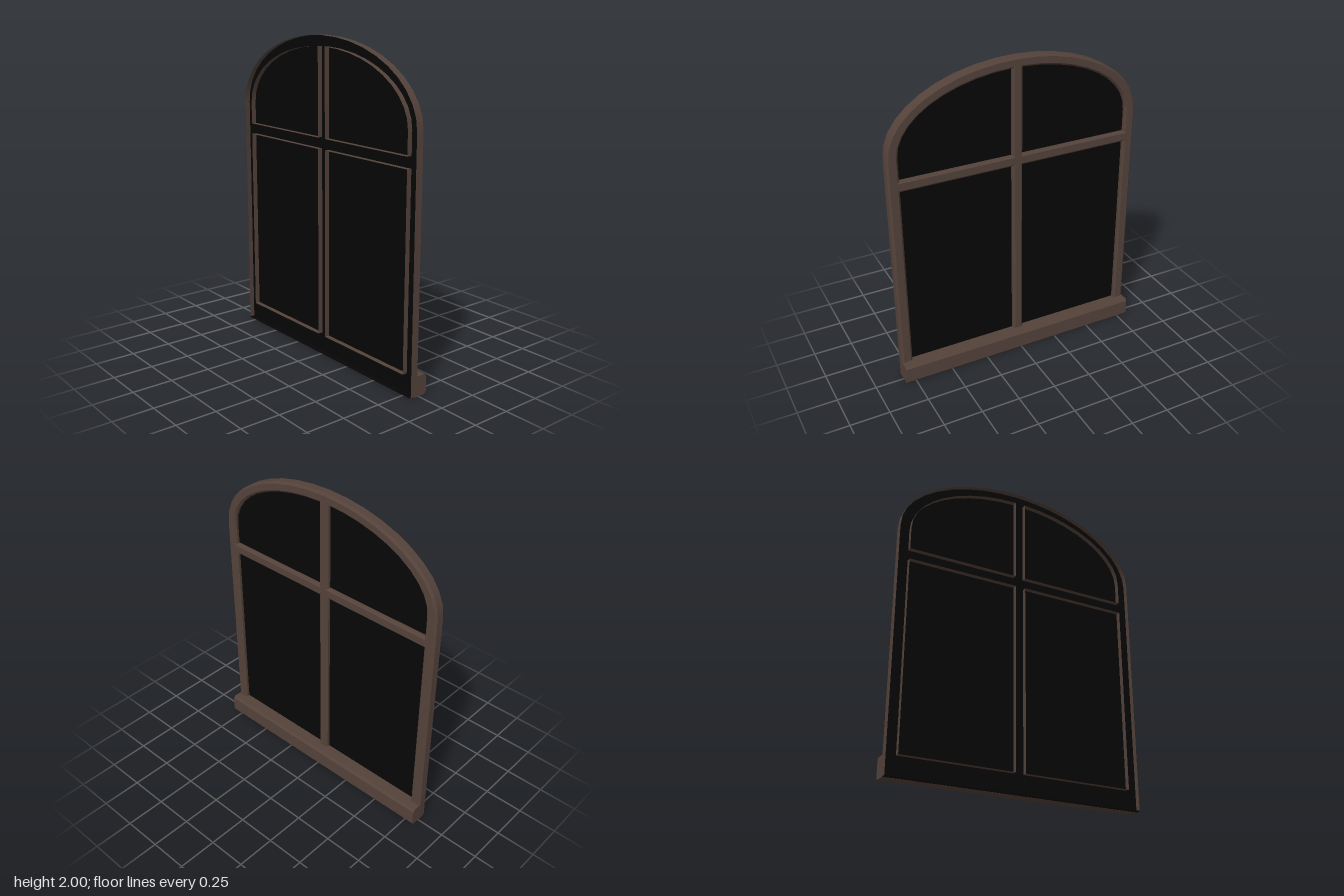
import * as THREE from 'three';
import { toCreasedNormals } from 'three/addons/utils/BufferGeometryUtils.js';

const HALF = 0.815, SPRING = 1.53, TOP = 2;   // outer arch
const INNER = 0.745, INNER_TOP = 1.935;       // inside edge of the frame
const BAR = 0.033;                            // half width of the mullion
const SILL = 0.125, BACK = -0.06, GLASS = -0.028, BEVEL = 0.012;

// points on an elliptical arch between two angles
function arch(rx, top, from, to, steps) {
  return Array.from({ length: steps + 1 }, (_, i) => {
    const t = from + (to - from) * i / steps;
    return new THREE.Vector2(rx * Math.cos(t), SPRING + (top - SPRING) * Math.sin(t));
  });
}

// thin wall following an outline, from depth z0 to z1
function wall(points, z0, z1, closed) {
  const pos = [], index = [], n = points.length;
  for (const p of points) pos.push(p.x, p.y, z0, p.x, p.y, z1);
  for (let i = 0; i < (closed ? n : n - 1); i++) {
    const a = 2 * i, b = 2 * ((i + 1) % n);
    index.push(a, b, b + 1, a, b + 1, a + 1);
  }
  const g = new THREE.BufferGeometry();
  g.setAttribute('position', new THREE.Float32BufferAttribute(pos, 3));
  g.setIndex(index);
  return toCreasedNormals(g, 0.5);
}

export function createModel() {
  const wood = new THREE.MeshStandardMaterial({ color: 0x54423a, side: THREE.DoubleSide });
  wood.name = 'dark brown wood';
  const glass = new THREE.MeshStandardMaterial({ color: 0x060606, side: THREE.DoubleSide });
  glass.name = 'black glass';

  const model = new THREE.Group();
  model.name = 'archedWindow';
  // drawn facing +z, then turned to face +x
  const panel = new THREE.Group();
  panel.name = 'windowPanel';
  panel.rotation.y = Math.PI / 2;
  model.add(panel);
  const add = (parent, name, geometry, material) => {
    const mesh = new THREE.Mesh(geometry, material);
    mesh.name = name;
    parent.add(mesh);
    return mesh;
  };

  // outlines of the frame and its four openings
  const outline = [new THREE.Vector2(-HALF, 0), new THREE.Vector2(HALF, 0),
    ...arch(HALF, TOP, 0, Math.PI, 20)];
  const lower = [[BAR, SILL], [INNER, SILL], [INNER, 1.32], [BAR, 1.32]]
    .map(([x, y]) => new THREE.Vector2(x, y));
  const upper = [new THREE.Vector2(BAR, 1.39), new THREE.Vector2(INNER, 1.39),
    ...arch(INNER, INNER_TOP, 0, Math.acos(BAR / INNER), 10)];
  const mirror = (pts) => pts.map((p) => new THREE.Vector2(-p.x, p.y)).reverse();
  const openings = [lower, upper, mirror(lower), mirror(upper)];

  // front face of frame, mullion and transom with chamfered edges
  const shape = new THREE.Shape(outline);
  openings.forEach((o) => shape.holes.push(new THREE.Path(o)));
  const face = new THREE.ExtrudeGeometry(shape, {
    depth: 0.003, bevelEnabled: true, bevelThickness: BEVEL, bevelSize: BEVEL,
    bevelOffset: -BEVEL, bevelSegments: 1,
  });
  face.translate(0, 0, -BEVEL - 0.003);
  add(panel, 'frameFace', toCreasedNormals(face, 0.5), wood);

  // hollow frame walls, open at the back
  add(panel, 'outerFrameWall', wall(outline.slice(1).concat(outline[0]), BACK, -BEVEL, false), wood);
  openings.forEach((o, i) => add(panel, 'openingWall' + (i + 1), wall(o, BACK, -BEVEL, true), wood));

  // glass sheet across the whole arch
  const sheet = add(panel, 'glassSheet', new THREE.ShapeGeometry(new THREE.Shape(outline)), glass);
  sheet.position.z = GLASS;

  // dark underside of the hollow back
  const under = add(model, 'backUnderside', new THREE.BoxGeometry(GLASS - BACK, 0.004, 2 * HALF), glass);
  under.position.set((GLASS + BACK) / 2, 0.002, 0);

  // projecting sill with chamfered front edges
  const profile = new THREE.Shape([[-0.026, 0], [0.048, 0], [0.06, 0.014], [0.06, 0.111],
    [0.048, SILL], [-0.026, SILL]].map(([x, y]) => new THREE.Vector2(x, y)));
  const sill = new THREE.ExtrudeGeometry(profile, { depth: 2 * HALF, bevelEnabled: false });
  sill.translate(0, 0, -HALF);
  add(model, 'sill', sill, wood);

  return model;
}
